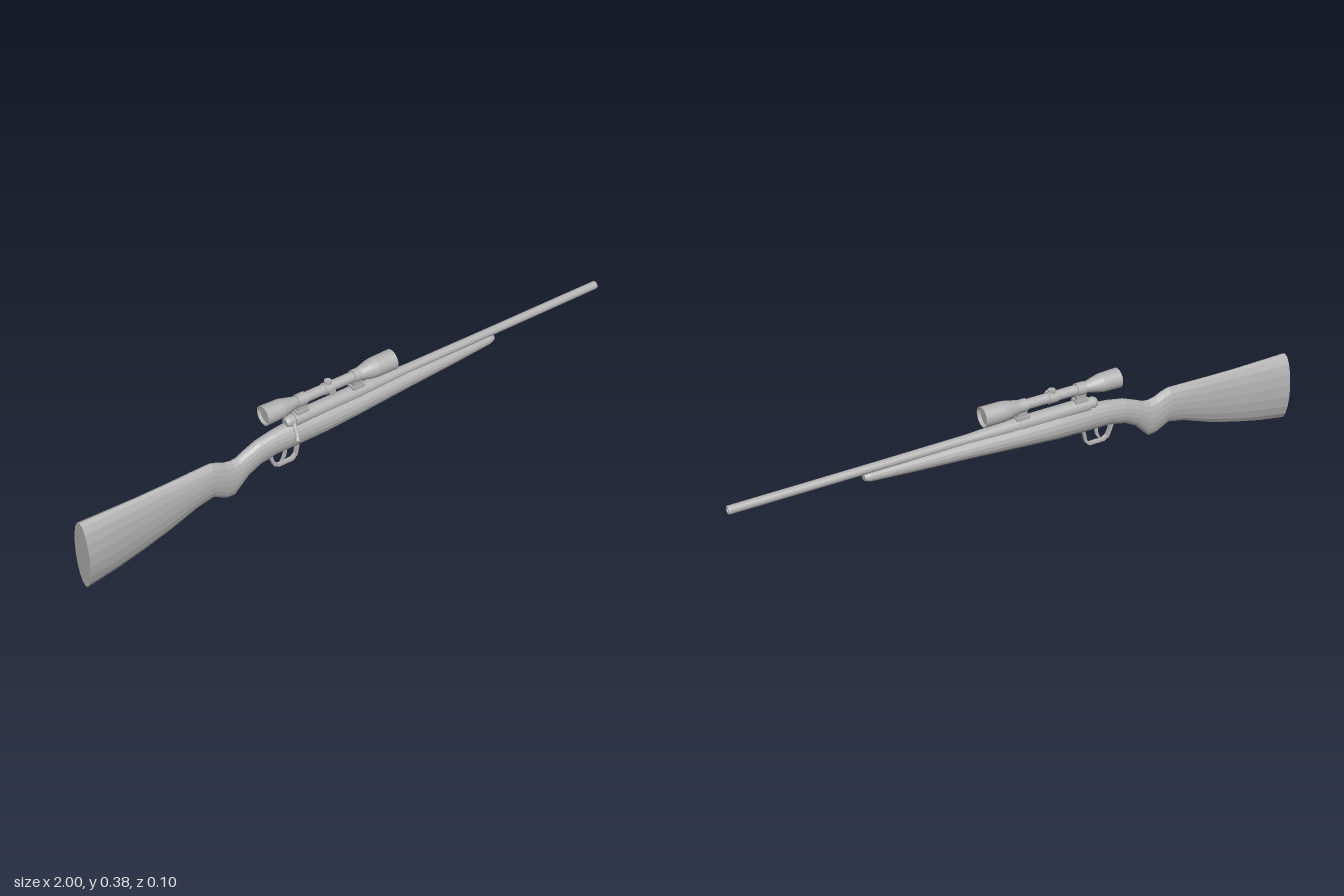
import * as THREE from 'three';

const steel = new THREE.MeshStandardMaterial({ color: 0xb2b2b2, flatShading: true });
steel.name = 'plain grey';

function add(parent, name, geometry, x = 0, y = 0, z = 0) {
  const mesh = new THREE.Mesh(geometry, steel);
  mesh.name = name;
  mesh.position.set(x, y, z);
  parent.add(mesh);
  return mesh;
}

// Turned part along x; profile is [x, radius] from rear to front
function turned(profile, sides = 24) {
  const points = profile.map(([x, r]) => new THREE.Vector2(r, x));
  return new THREE.LatheGeometry(points, sides).rotateZ(-Math.PI / 2);
}

// Lofted body through oval sections [x, bottom, top, halfWidth]
function loft(sections, sides = 18) {
  const positions = [], index = [];
  for (const [x, bottom, top, half] of sections) {
    for (let j = 0; j < sides; j++) {
      const a = (j / sides) * Math.PI * 2;
      positions.push(x, (top + bottom) / 2 + Math.cos(a) * (top - bottom) / 2, Math.sin(a) * half);
    }
  }
  const last = (sections.length - 1) * sides;
  for (let i = 0; i < last; i += sides) {
    for (let j = 0; j < sides; j++) {
      const k = (j + 1) % sides;
      index.push(i + j, i + k, i + sides + k, i + j, i + sides + k, i + sides + j);
    }
  }
  for (let j = 1; j < sides - 1; j++) {
    index.push(0, j + 1, j, last, last + j, last + j + 1);
  }
  const geometry = new THREE.BufferGeometry();
  geometry.setAttribute('position', new THREE.Float32BufferAttribute(positions, 3));
  geometry.setIndex(index);
  geometry.computeVertexNormals();
  return geometry;
}

// Rod between two points
function rod(parent, name, from, to, r0, r1) {
  const a = new THREE.Vector3(...from), b = new THREE.Vector3(...to);
  const mesh = add(parent, name, new THREE.CylinderGeometry(r1, r0, a.distanceTo(b), 10));
  mesh.position.copy(a).lerp(b, 0.5);
  mesh.quaternion.setFromUnitVectors(new THREE.Vector3(0, 1, 0), b.sub(a).normalize());
}

// Flat outline in the xy plane, thickened along z
function plate(points, width, holePoints) {
  const shape = new THREE.Shape(points.map(p => new THREE.Vector2(...p)));
  if (holePoints) shape.holes.push(new THREE.Path(holePoints.map(p => new THREE.Vector2(...p))));
  return new THREE.ExtrudeGeometry(shape, { depth: width, bevelEnabled: false }).translate(0, 0, -width / 2);
}

export function createModel() {
  const model = new THREE.Group();
  model.name = 'rifle';
  const body = new THREE.Group();
  body.name = 'body';
  body.position.z = -0.005;
  model.add(body);

  // Stock: butt, wrist, grip and forend in one loft
  add(body, 'stock', loft([
    [-1, 0.004, 0.252, 0.043], [-0.9, 0.021, 0.251, 0.037], [-0.8, 0.045, 0.25, 0.032],
    [-0.7, 0.075, 0.251, 0.029], [-0.6, 0.113, 0.253, 0.027], [-0.54, 0.126, 0.254, 0.026],
    [-0.515, 0.112, 0.246, 0.026], [-0.49, 0.099, 0.234, 0.026], [-0.465, 0.097, 0.229, 0.025],
    [-0.445, 0.117, 0.231, 0.025], [-0.415, 0.148, 0.244, 0.026], [-0.37, 0.173, 0.262, 0.027],
    [-0.31, 0.186, 0.273, 0.03], [-0.24, 0.187, 0.28, 0.034], [-0.12, 0.192, 0.284, 0.04],
    [0, 0.202, 0.284, 0.04], [0.2, 0.218, 0.282, 0.034], [0.4, 0.23, 0.279, 0.026],
    [0.54, 0.24, 0.275, 0.019], [0.557, 0.247, 0.271, 0.014],
  ]));

  // Receiver and tapered barrel with an open muzzle
  add(body, 'receiver', turned([
    [-0.265, 0], [-0.265, 0.014], [-0.255, 0.019], [-0.235, 0.019], [-0.235, 0.024], [0.02, 0.024], [0.02, 0],
  ]), 0, 0.284);
  add(body, 'barrel', turned([
    [0, 0], [0, 0.023], [0.06, 0.022], [0.2, 0.016], [0.5, 0.0145], [0.995, 0.014],
    [1, 0.013], [1, 0.0075], [0.96, 0.0075], [0.96, 0],
  ], 20), 0, 0.284);

  // Bolt handle, angled down on the +z side
  rod(body, 'boltHandle', [-0.24, 0.284, 0.01], [-0.248, 0.25, 0.044], 0.007, 0.006);
  rod(body, 'boltKnob', [-0.247, 0.254, 0.04], [-0.25, 0.238, 0.047], 0.006, 0.009);

  // Trigger and its guard
  add(body, 'triggerGuard', plate(
    [[-0.335, 0.2], [-0.324, 0.165], [-0.314, 0.14], [-0.295, 0.129], [-0.24, 0.129], [-0.224, 0.145], [-0.213, 0.2]],
    0.014,
    [[-0.319, 0.187], [-0.313, 0.163], [-0.306, 0.146], [-0.292, 0.137], [-0.244, 0.137], [-0.232, 0.149], [-0.224, 0.187]],
  ));
  add(body, 'trigger', plate(
    [[-0.272, 0.195], [-0.272, 0.172], [-0.28, 0.15], [-0.286, 0.142], [-0.278, 0.142], [-0.266, 0.158], [-0.258, 0.195]],
    0.008,
  ));

  // Telescopic sight with recessed lenses at both ends
  const scope = new THREE.Group();
  scope.name = 'scope';
  scope.position.y = 0.348;
  body.add(scope);
  add(scope, 'scopeTube', turned([
    [-0.335, 0], [-0.335, 0.029], [-0.345, 0.029], [-0.345, 0.033], [-0.28, 0.031], [-0.222, 0.017],
    [0, 0.017], [0.055, 0.03], [0.075, 0.033], [0.147, 0.034], [0.147, 0.031], [0.135, 0.031], [0.135, 0],
  ], 28));
  add(scope, 'turretCollar', turned([
    [-0.118, 0.016], [-0.118, 0.02], [-0.086, 0.02], [-0.086, 0.016],
  ]));
  rod(scope, 'topTurret', [-0.102, 0.01, 0], [-0.102, 0.028, 0], 0.012, 0.012);
  rod(scope, 'sideTurret', [-0.102, 0, 0.01], [-0.102, 0, 0.028], 0.012, 0.012);

  // Two mounts: foot, block and clamping ring
  for (const x of [-0.205, 0.008]) {
    add(body, 'mountFoot', new THREE.BoxGeometry(0.045, 0.012, 0.03), x, 0.308);
    add(body, 'mountBlock', new THREE.BoxGeometry(0.034, 0.03, 0.022), x, 0.322);
    add(body, 'mountRing', turned([[-0.016, 0.016], [-0.016, 0.021], [0.016, 0.021], [0.016, 0.016]]), x, 0.348);
  }
  return model;
}
